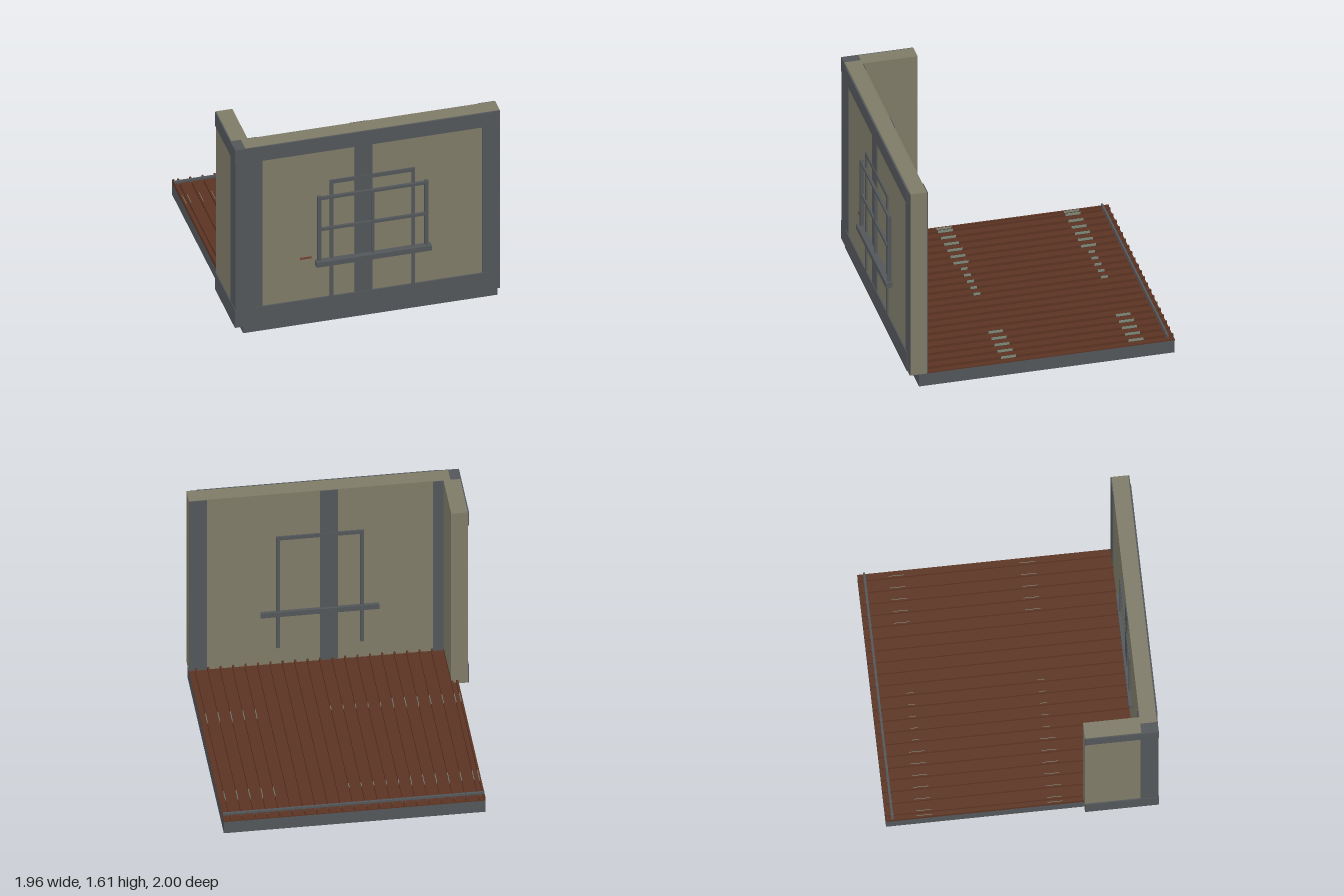
import * as THREE from 'three';

export function createModel() {
  const model = new THREE.Group();
  const mat = (name, color) => new THREE.MeshStandardMaterial({ name, color });
  const plaster = mat('plaster', 0x807c69);
  const steel = mat('greySteel', 0x53575a);
  const roof = mat('brownSheet', 0x5c3423);
  const clipMat = mat('clipGreen', 0x7d8a7c);
  const rust = mat('rustRed', 0x73402f);

  // Box given by its lower and upper limits on each axis
  const block = (name, material, [x0, x1], [y0, y1], [z0, z1], parent = model) => {
    const mesh = new THREE.Mesh(new THREE.BoxGeometry(x1 - x0, y1 - y0, z1 - z0), material);
    mesh.position.set((x0 + x1) / 2, (y0 + y1) / 2, (z0 + z1) / 2);
    mesh.name = name;
    parent.add(mesh);
    return mesh;
  };
  const group = (name) => {
    const g = new THREE.Group();
    g.name = name;
    model.add(g);
    return g;
  };

  // Slab and sheet with standing seams
  block('baseSlab', steel, [-0.905, 0.98], [0, 0.1], [-0.995, 0.89]);
  const deck = group('seamedDeck');
  block('deckSheet', roof, [-0.905, 0.98], [0.1, 0.108], [-0.997, 0.826], deck);
  const seams = [-0.898];
  for (let i = 0; i <= 20; i++) seams.push(-0.861 + i * 0.0896);
  seams.forEach((x, i) => {
    block('seam', roof, [x - 0.007, x + 0.007], [0.106, 0.13], [-0.997, 0.826], deck);
    // Fixing clips in two rows
    const outer = x < -0.38 || x > 0.55;
    if (outer || x < 0.06) {
      const half = outer ? 0.055 : 0.025;
      for (const z of [-0.72, 0.22]) {
        block('seamClip', clipMat, [x + 0.004, x + 0.0075], [0.112, 0.131], [z - half, z + half], deck);
      }
    }
    // Clamps under the edge bar
    if (i) block('barClamp', steel, [x - 0.013, x + 0.013], [0.112, 0.14], [-0.957, -0.938], deck);
  });
  block('edgeBar', steel, [-0.905, 0.98], [0.128, 0.145], [-0.955, -0.94], deck);

  // Walls
  block('frontWall', plaster, [-0.905, 0.98], [0.1, 1.61], [0.83, 0.95]);
  block('sideWall', plaster, [-0.975, -0.855], [0.1, 1.61], [0.425, 0.83]);
  block('cornerPost', steel, [-0.98, -0.905], [0.1, 1.609], [0.825, 0.955]);

  // Timber plates on both faces of the front wall
  const frame = group('wallFrame');
  const outside = [0.949, 0.957], inside = [0.823, 0.831];
  for (const depth of [outside, inside]) {
    for (const xs of [[-0.906, -0.78], [-0.095, 0.035], [0.85, 0.979]]) {
      block('framePost', steel, xs, [0.1, 1.608], depth, frame);
    }
  }
  for (const ys of [[0.1, 0.25], [1.49, 1.608]]) {
    block('frameBeam', steel, [-0.979, 0.979], ys, [0.949, 0.956], frame);
    block('frameBeamFace', steel, [-0.84, 0.915], ys, [0.955, 0.962], frame);
    block('sideBeam', steel, [-0.984, -0.974], ys, [0.427, 0.955], frame);
  }

  // Door-height casing on both faces
  const casing = group('openingCasing');
  for (const depth of [[0.949, 0.962], [0.818, 0.831]]) {
    block('casingLeg', steel, [-0.28, -0.255], [0.25, 1.235], depth, casing);
    block('casingLeg', steel, [0.325, 0.35], [0.25, 1.235], depth, casing);
    block('casingHead', steel, [-0.28, 0.35], [1.205, 1.235], depth, casing);
  }

  // Sill and railing
  block('sill', steel, [-0.39, 0.465], [0.535, 0.575], [0.805, 1]);
  const rail = group('railing');
  for (const x of [-0.362, 0.433]) {
    block('railPost', steel, [x - 0.013, x + 0.013], [0.575, 1.117], [0.952, 0.978], rail);
  }
  block('middlePost', steel, [0.028, 0.044], [0.575, 1.1], [0.955, 0.974], rail);
  block('topRail', steel, [-0.362, 0.433], [1.088, 1.11], [0.955, 0.976], rail);
  block('middleRail', steel, [-0.362, 0.433], [0.824, 0.845], [0.955, 0.974], rail);

  // Small rust strip on the front wall
  block('rustStrip', rust, [-0.5, -0.415], [0.595, 0.608], [0.949, 0.957]);

  return model;
}
